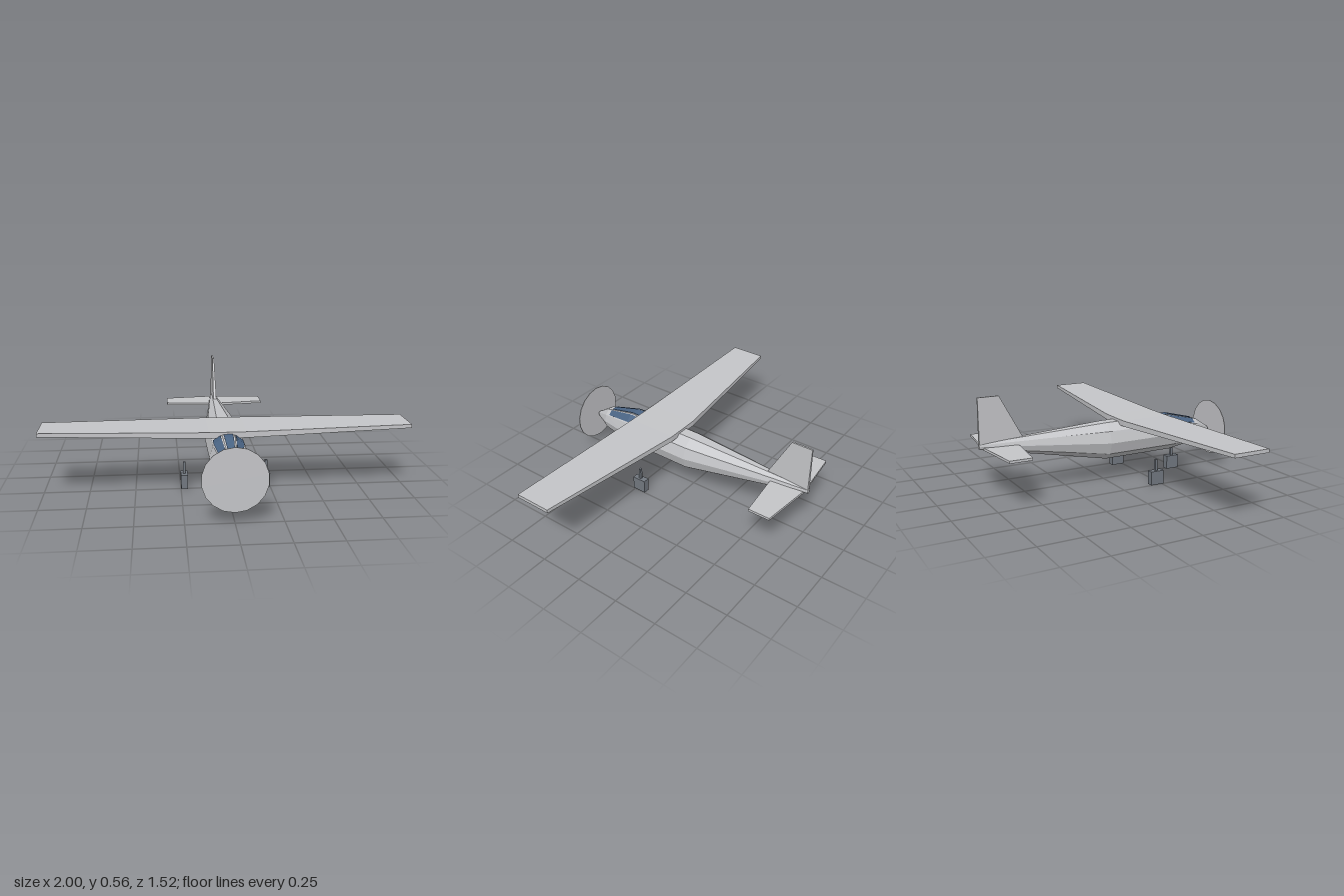
import * as THREE from 'three';

// Flat-shaded skin through equal-sized rings, capped at both ends.
// Each ring runs counter-clockwise about the direction of travel.
function loft(rings) {
  const pos = [];
  const tri = (...pts) => pts.forEach((p) => pos.push(...p));
  const n = rings[0].length;
  for (let i = 0; i < rings.length - 1; i++) {
    for (let j = 0; j < n; j++) {
      const k = (j + 1) % n;
      const [a, b, c, d] = [rings[i][j], rings[i][k], rings[i + 1][k], rings[i + 1][j]];
      tri(a, b, c);
      tri(a, c, d);
    }
  }
  const first = rings[0], last = rings[rings.length - 1];
  for (let j = 1; j < n - 1; j++) {
    tri(first[0], first[j + 1], first[j]);
    tri(last[0], last[j], last[j + 1]);
  }
  const geo = new THREE.BufferGeometry();
  geo.setAttribute('position', new THREE.Float32BufferAttribute(pos, 3));
  geo.computeVertexNormals();
  return geo;
}

// Fuselage stations: z, centre height, half width, vertical radius
const STATIONS = [
  [-0.757, 0.293, 0.012, 0.016],
  [0, 0.2375, 0.105, 0.113],
  [0.44, 0.2395, 0.105, 0.111],
  [0.64, 0.228, 0.06, 0.071],
  [0.74, 0.22, 0.01, 0.014],
];

function stationAt(z) {
  let i = 0;
  while (i < STATIONS.length - 2 && z > STATIONS[i + 1][0]) i++;
  const a = STATIONS[i], b = STATIONS[i + 1];
  const t = (z - a[0]) / (b[0] - a[0]);
  return a.map((v, k) => v + (b[k] - v) * t);
}

// Corner of the ten-sided section, optionally pushed outwards
function hullPoint([z, cy, rx, ry], corner, lift = 0) {
  const a = (corner * Math.PI) / 5;
  return [Math.cos(a) * (rx + lift), cy + Math.sin(a) * (ry + lift), z];
}

// Wing-like surface from sections: x, bottom, top, rear z, front z
const panel = (sections) => loft(sections.map(([x, y0, y1, z0, z1]) =>
  [[x, y0, z0], [x, y1, z0], [x, y1, z1], [x, y0, z1]]));

export function createModel() {
  const model = new THREE.Group();
  model.name = 'airplane';
  const paint = (name, color) => {
    const m = new THREE.MeshStandardMaterial({ color });
    m.name = name;
    return m;
  };
  const body = paint('lightGrey', 0xc4c5c8);
  const glass = paint('blueGlass', 0x4a6484);
  const gearGrey = paint('gearGrey', 0x727880);
  const add = (name, geo, mat, parent = model) => {
    const mesh = new THREE.Mesh(geo, mat);
    mesh.name = name;
    parent.add(mesh);
    return mesh;
  };

  // Fuselage
  add('fuselage', loft(STATIONS.map((s) =>
    Array.from({ length: 10 }, (_, j) => hullPoint(s, j)))), body);

  // Cockpit windows: one on the top face, one on each shoulder face
  ['leftWindow', 'topWindow', 'rightWindow'].forEach((name, i) => {
    const corner = i + 1;
    const rings = [0.37, 0.44, 0.61].map((z) => {
      const s = stationAt(z);
      const at = (t, lift) => {
        const a = hullPoint(s, corner, lift), b = hullPoint(s, corner + 1, lift);
        return a.map((v, k) => v + (b[k] - v) * t);
      };
      return [at(0.13, 0.004), at(0.87, 0.004), at(0.87, -0.002), at(0.13, -0.002)];
    });
    add(name, loft(rings), glass);
  });

  // Main wing with a level centre and slightly raised tips
  add('wing', panel([
    [-1, 0.358, 0.378, 0.17, 0.38],
    [-0.1, 0.327, 0.36, 0.08, 0.38],
    [0.1, 0.327, 0.36, 0.08, 0.38],
    [1, 0.358, 0.378, 0.17, 0.38],
  ]), body);

  // Tailplane
  add('tailplane', panel([
    [-0.307, 0.271, 0.285, -0.7, -0.573],
    [0, 0.271, 0.285, -0.733, -0.535],
    [0.307, 0.271, 0.285, -0.7, -0.573],
  ]), body);

  // Upright fin: height, half thickness, rear z, front z
  add('fin', loft([[0.29, 0.01, -0.755, -0.49], [0.56, 0.005, -0.755, -0.635]]
    .map(([y, w, z0, z1]) => [[-w, y, z0], [-w, y, z1], [w, y, z1], [w, y, z0]])), body);

  // Propeller disc
  const disc = new THREE.CylinderGeometry(0.169, 0.169, 0.004, 18).toNonIndexed();
  disc.computeVertexNormals();
  disc.rotateX(Math.PI / 2);
  add('propellerDisc', disc, body).position.set(0, 0.228, 0.756);

  // Landing gear: block wheel and slim strut
  [['noseGear', 0, 0.475], ['leftGear', 0.23, 0.22], ['rightGear', -0.23, 0.22]]
    .forEach(([name, x, z]) => {
      const gear = new THREE.Group();
      gear.name = name;
      gear.position.set(x, 0, z);
      model.add(gear);
      add('wheel', new THREE.BoxGeometry(0.038, 0.08, 0.082), gearGrey, gear).position.y = 0.04;
      add('strut', new THREE.BoxGeometry(0.014, 0.07, 0.014), gearGrey, gear).position.y = 0.112;
    });

  return model;
}
